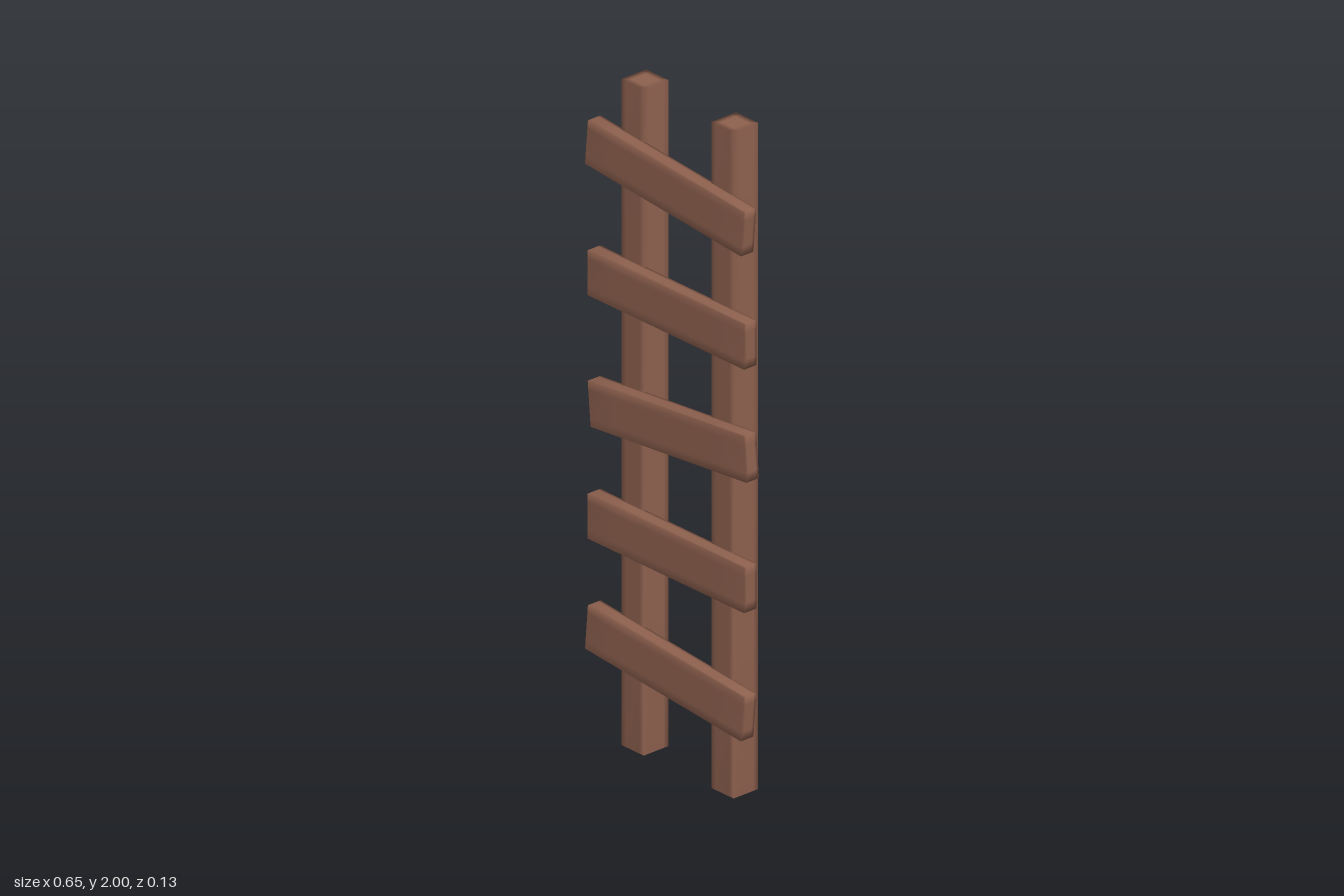
import * as THREE from 'three';
import { mergeVertices } from 'three/addons/utils/BufferGeometryUtils.js';

const wood = new THREE.MeshStandardMaterial({ color: 0x8d604e });
wood.name = 'brown wood';

// Box with inset edge loops and softly blended normals
function plank(name, w, h, d) {
  let g = new THREE.BoxGeometry(1, 1, 1, 3, 3, 3);
  const p = g.attributes.position;
  const inset = (t) => (Math.abs(t) < 0.4 ? Math.sign(t) * 0.3 : t);
  for (let i = 0; i < p.count; i++) {
    p.setXYZ(i, inset(p.getX(i)) * w, inset(p.getY(i)) * h, inset(p.getZ(i)) * d);
  }
  g.deleteAttribute('normal');
  g.deleteAttribute('uv');
  g = mergeVertices(g);
  g.computeVertexNormals();
  const mesh = new THREE.Mesh(g, wood);
  mesh.name = name;
  return mesh;
}

export function createModel() {
  const ladder = new THREE.Group();
  ladder.name = 'ladder';

  // Two upright square rails
  for (const side of [-1, 1]) {
    const rail = plank(side > 0 ? 'leftRail' : 'rightRail', 0.09, 2, 0.09);
    rail.position.set(side * 0.182, 1, -0.021);
    ladder.add(rail);
  }

  // Rungs nailed on the front: x, y, tilt in degrees
  const rungs = [
    [-0.008, 0.306, -5],
    [-0.002, 0.668, 0],
    [0.003, 1.035, 5],
    [-0.002, 1.399, 0],
    [-0.008, 1.762, -5],
  ];
  rungs.forEach(([x, y, tilt], i) => {
    const rung = plank(`rung${i + 1}`, 0.634, 0.135, 0.046);
    rung.position.set(x, y, 0.042);
    rung.rotation.z = THREE.MathUtils.degToRad(tilt);
    ladder.add(rung);
  });

  return ladder;
}
